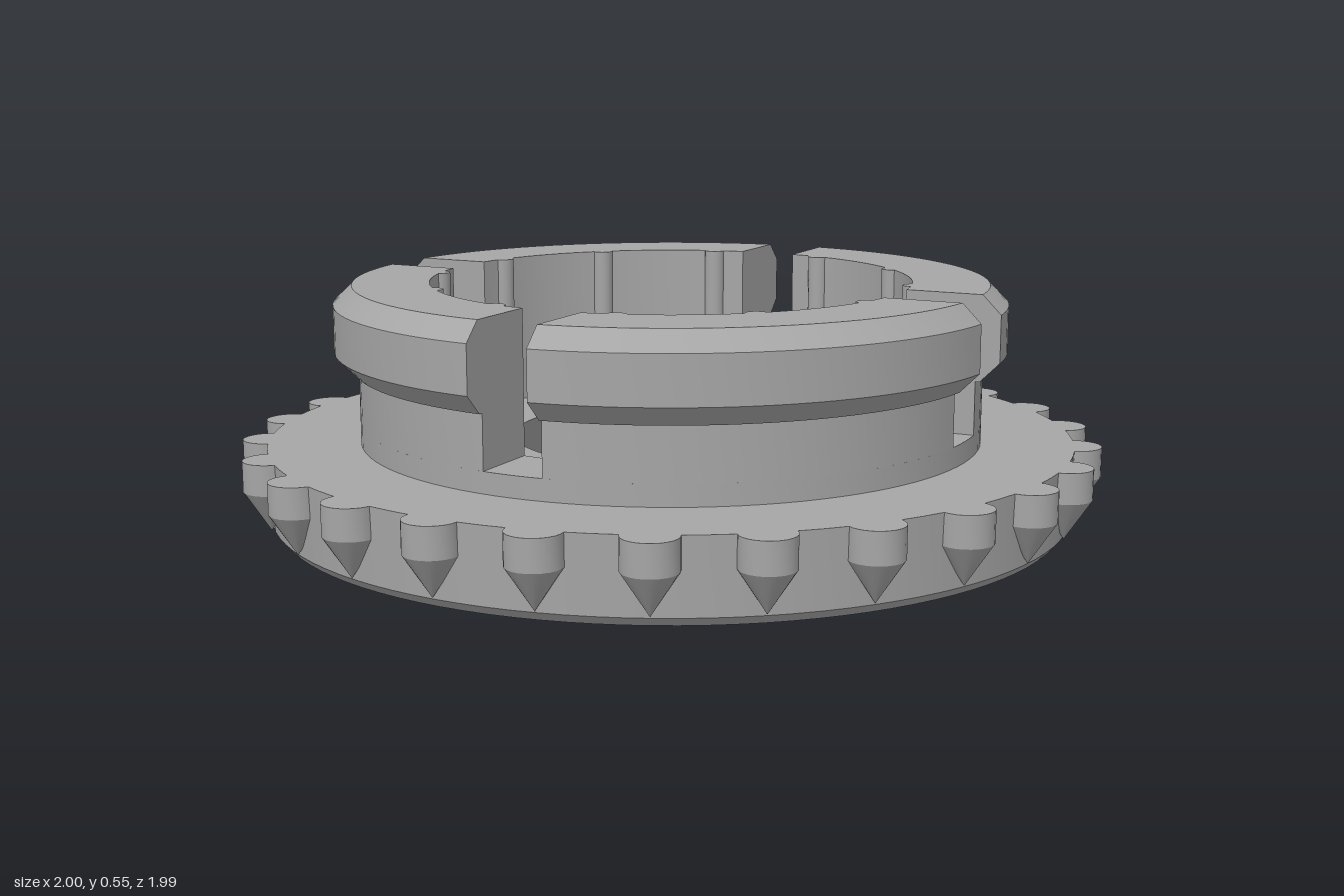
import * as THREE from 'three';
import { toCreasedNormals } from 'three/addons/utils/BufferGeometryUtils.js';

const CREASE = 0.5;
const points = (list) => list.map(([r, y]) => new THREE.Vector2(r, y));

// One quarter of the collar: a swept profile whose ends are parallel to the slots
function collarGeometry(profile, halfSlot, steps) {
  const n = profile.length;
  const positions = [], index = [];
  for (let i = 0; i <= steps; i++) {
    for (const p of profile) {
      const span = Math.PI / 4 - Math.asin(halfSlot / p.x);
      const a = span * (2 * i / steps - 1);
      positions.push(p.x * Math.sin(a), p.y, p.x * Math.cos(a));
    }
  }
  // side walls; the underside sits on the base and stays open
  for (let i = 0; i < steps; i++) {
    for (let j = 0; j < n - 1; j++) {
      const a = i * n + j, b = a + n;
      index.push(a, b, a + 1, b + 1, a + 1, b);
    }
  }
  // flat slot faces at both ends
  const last = steps * n;
  for (const [a, b, c] of THREE.ShapeUtils.triangulateShape(profile, [])) {
    index.push(a, b, c, last + c, last + b, last + a);
  }
  const geometry = new THREE.BufferGeometry();
  geometry.setAttribute('position', new THREE.Float32BufferAttribute(positions, 3));
  geometry.setIndex(index);
  return toCreasedNormals(geometry, CREASE);
}

export function createModel() {
  const model = new THREE.Group();
  const grey = new THREE.MeshStandardMaterial({ color: 0xa6a6a6 });
  grey.name = 'grey';

  const add = (name, geometry, parent = model) => {
    const mesh = new THREE.Mesh(geometry, grey);
    mesh.name = name;
    parent.add(mesh);
    return mesh;
  };

  // Flange with a conical bore and the low ring that carries the collar
  const base = new THREE.LatheGeometry(points([
    [0.49, 0], [0.915, 0], [0.932, 0.02], [0.938, 0.187], [0.725, 0.187],
    [0.725, 0.235], [0.56, 0.235], [0.56, 0.187], [0.37, 0.187], [0.49, 0],
  ]), 104);
  add('flange', toCreasedNormals(base, CREASE));

  // Four collar quarters with a bevelled lip
  const collar = collarGeometry(points([
    [0.725, 0.235], [0.725, 0.357], [0.735, 0.357], [0.78, 0.402],
    [0.78, 0.51], [0.737, 0.553], [0.56, 0.553], [0.56, 0.235],
  ]), 0.07, 24);
  for (let i = 0; i < 4; i++) {
    add('collarQuarter', collar).rotation.y = i * Math.PI / 2;
  }

  // Grip knobs around the rim, each tapering to a point
  const knob = toCreasedNormals(new THREE.LatheGeometry(points([
    [0, 0.025], [0.06, 0.117], [0.06, 0.187], [0, 0.187],
  ]), 24), CREASE);
  const knobs = new THREE.Group();
  knobs.name = 'gripKnobs';
  model.add(knobs);
  for (let i = 0; i < 26; i++) {
    const a = i * Math.PI * 2 / 26;
    add('gripKnob', knob, knobs).position.set(0.94 * Math.cos(a), 0, 0.94 * Math.sin(a));
  }

  // Thin round ribs up the inner wall
  const rib = new THREE.CylinderGeometry(0.025, 0.025, 0.366, 16);
  const ribs = new THREE.Group();
  ribs.name = 'innerRibs';
  model.add(ribs);
  for (let i = 0; i < 12; i++) {
    const a = i * Math.PI / 6;
    add('innerRib', rib, ribs).position.set(0.564 * Math.sin(a), 0.37, 0.564 * Math.cos(a));
  }

  return model;
}
